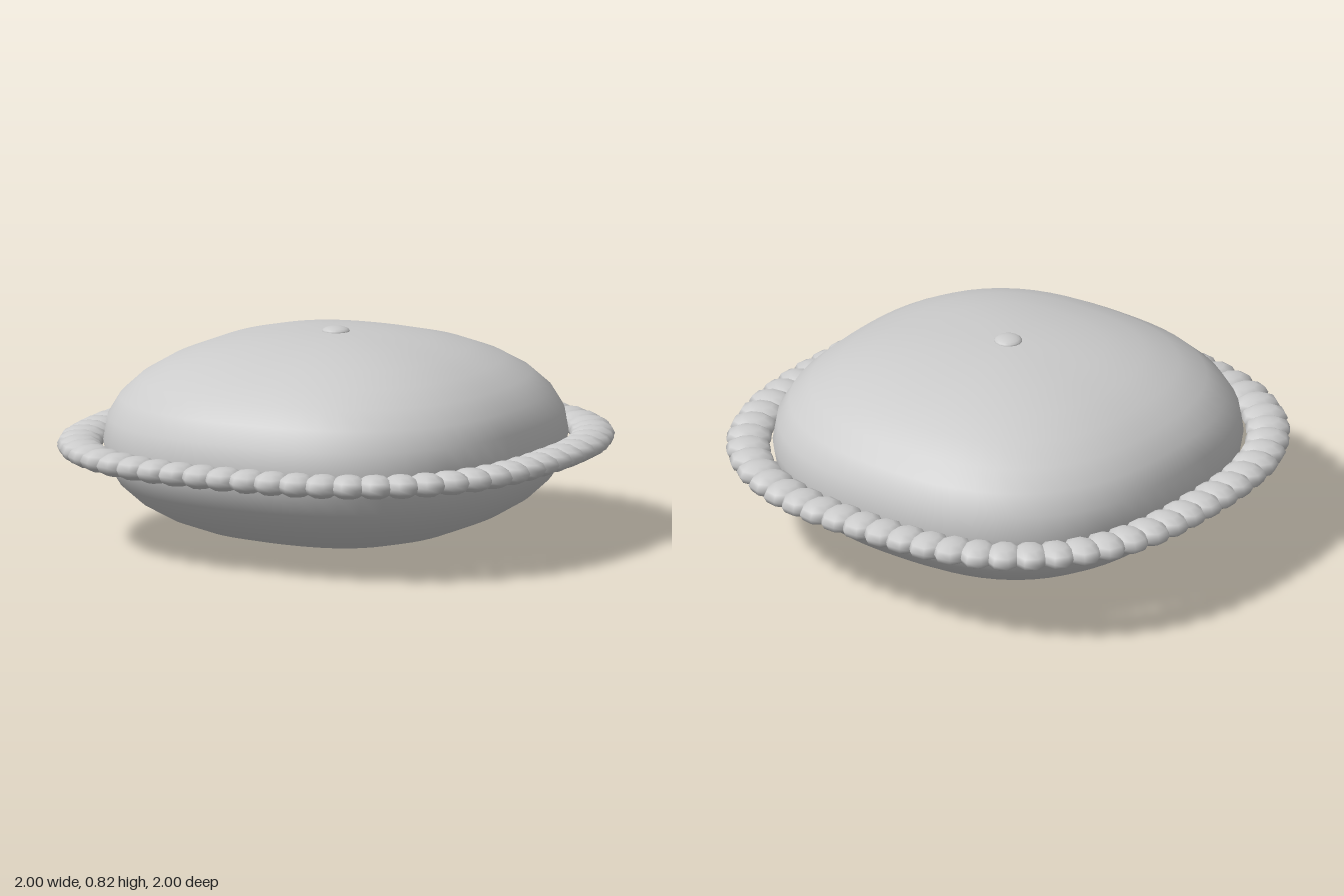
import * as THREE from 'three';
import { mergeVertices } from 'three/addons/utils/BufferGeometryUtils.js';

const material = new THREE.MeshStandardMaterial({ color: 0xcccccc });
const MID = 0.4; // height of the cushion's widest line

// Radius of a unit rounded square (superellipse) in a given direction
function roundedSquare(angle, n) {
  const c = Math.abs(Math.cos(angle)), s = Math.abs(Math.sin(angle));
  return (c ** n + s ** n) ** (-1 / n);
}

// Sphere reshaped into a plump cushion with a rounded-square plan
function cushionGeometry() {
  let geo = new THREE.SphereGeometry(1, 64, 16);
  const pos = geo.attributes.position;
  const full = 0.92; // below 1 makes the section fuller than an ellipse
  for (let i = 0; i < pos.count; i++) {
    const x = pos.getX(i), y = pos.getY(i), z = pos.getZ(i);
    const angle = Math.atan2(z, x);
    const r = 0.835 * Math.hypot(x, z) ** full * roundedSquare(angle, 2.5);
    pos.setXYZ(i, r * Math.cos(angle), 0.4 * Math.sign(y) * Math.abs(y) ** full, r * Math.sin(angle));
  }
  geo.deleteAttribute('uv');
  geo.deleteAttribute('normal');
  geo = mergeVertices(geo);
  geo.computeVertexNormals();
  return geo;
}

// Small repeatable variation in -1..1
let seed = 7;
function vary() {
  seed = (seed * 16807) % 2147483647;
  return (seed / 2147483647) * 2 - 1;
}

export function createModel() {
  const model = new THREE.Group();
  model.name = 'cushion';

  const body = new THREE.Mesh(cushionGeometry(), material);
  body.name = 'cushionBody';
  body.position.y = MID;
  model.add(body);

  // Ruffled trim: overlapping low-sided puffs evenly spaced round the edge
  const ruffle = new THREE.Group();
  ruffle.name = 'ruffleTrim';
  const path = [];
  for (let i = 0; i < 64; i++) {
    const a = (i / 64) * Math.PI * 2;
    const r = 0.912 * roundedSquare(a, 2.6);
    path.push(new THREE.Vector3(r * Math.cos(a), 0.38, r * Math.sin(a)));
  }
  const curve = new THREE.CatmullRomCurve3(path, true);
  const puffGeo = new THREE.SphereGeometry(1, 8, 6).rotateY(Math.PI / 8);
  const count = 60;
  for (let i = 0; i < count; i++) {
    const puff = new THREE.Mesh(puffGeo, material);
    puff.name = 'rufflePuff';
    puff.position.copy(curve.getPointAt(i / count));
    const t = curve.getTangentAt(i / count);
    puff.rotation.set(0, Math.atan2(-t.z, t.x) + 0.1 * vary(), 0);
    puff.scale.set(0.076, 0.046, 0.092 + 0.002 * vary());
    ruffle.add(puff);
  }
  model.add(ruffle);

  // Button at the centre of the top
  const button = new THREE.Mesh(new THREE.SphereGeometry(1, 16, 10), material);
  button.name = 'centreButton';
  button.position.y = 0.797;
  button.scale.set(0.054, 0.02, 0.054);
  model.add(button);

  return model;
}
